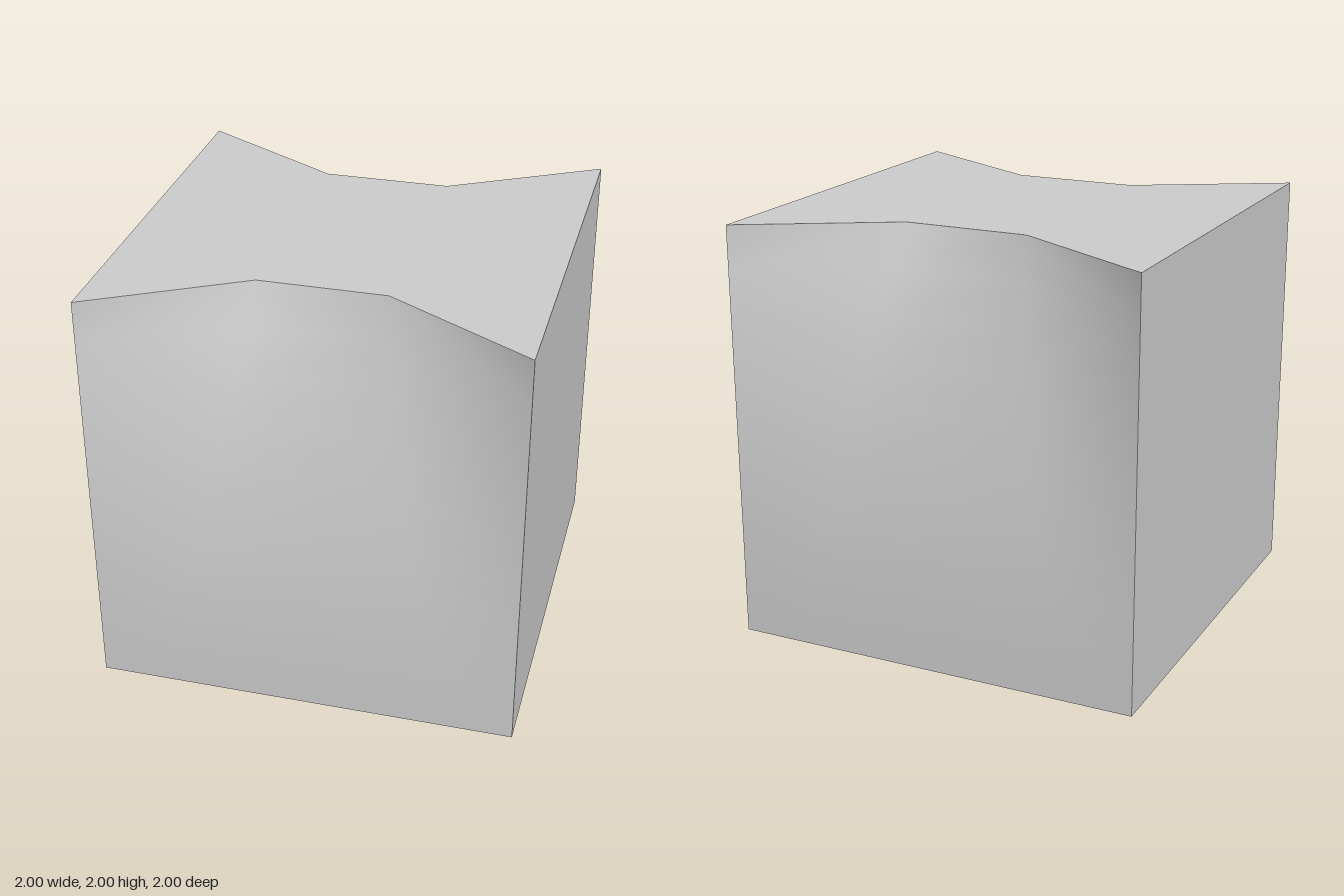
import * as THREE from 'three';

export function createModel() {
  const group = new THREE.Group();
  const grey = new THREE.MeshStandardMaterial({ color: 0xcccccc });
  grey.name = 'light grey';

  function add(name, geometry) {
    const mesh = new THREE.Mesh(geometry, grey);
    mesh.name = name;
    group.add(mesh);
    return mesh;
  }

  // Cross-section of the hollowed face at height h (0 bottom, 1 top)
  function section(h) {
    const inner = 0.3 + 0.35 * (1 - h);
    const z = 1 - 0.4 * Math.pow(h, 2.2);
    return [[-1, 1], [-inner, z], [inner, z], [1, 1]];
  }

  // Smooth face: straight at the base, pressed inward towards the top
  function hollowFace(rows = 10) {
    const positions = [], index = [];
    for (let r = 0; r <= rows; r++) {
      const h = r / rows;
      for (const [x, z] of section(h)) positions.push(x, 2 * h, z);
    }
    for (let r = 0; r < rows; r++) {
      for (let c = 0; c < 3; c++) {
        const a = r * 4 + c, b = a + 1, d = a + 4, e = a + 5;
        // mirrored diagonals keep the face symmetric
        if (c < 2) index.push(a, b, e, a, e, d);
        else index.push(a, b, d, b, e, d);
      }
    }
    const geometry = new THREE.BufferGeometry();
    geometry.setAttribute('position', new THREE.Float32BufferAttribute(positions, 3));
    geometry.setIndex(index);
    geometry.computeVertexNormals();
    return geometry;
  }

  add('frontHollowFace', hollowFace());
  add('backHollowFace', hollowFace()).rotation.y = Math.PI;

  // Flat sides
  for (const side of [-1, 1]) {
    const plane = new THREE.PlaneGeometry(2, 2);
    plane.rotateY(side * Math.PI / 2);
    plane.translate(side, 1, 0);
    add(side > 0 ? 'leftSide' : 'rightSide', plane);
  }

  // Waisted top
  const rim = section(1);
  const outline = [...rim, ...rim.map(([x, z]) => [-x, -z])];
  const top = new THREE.ShapeGeometry(
    new THREE.Shape(outline.map(([x, z]) => new THREE.Vector2(x, -z))));
  top.rotateX(-Math.PI / 2);
  top.translate(0, 2, 0);
  add('top', top);

  // Square base
  const base = new THREE.PlaneGeometry(2, 2);
  base.rotateX(Math.PI / 2);
  add('base', base);

  return group;
}
